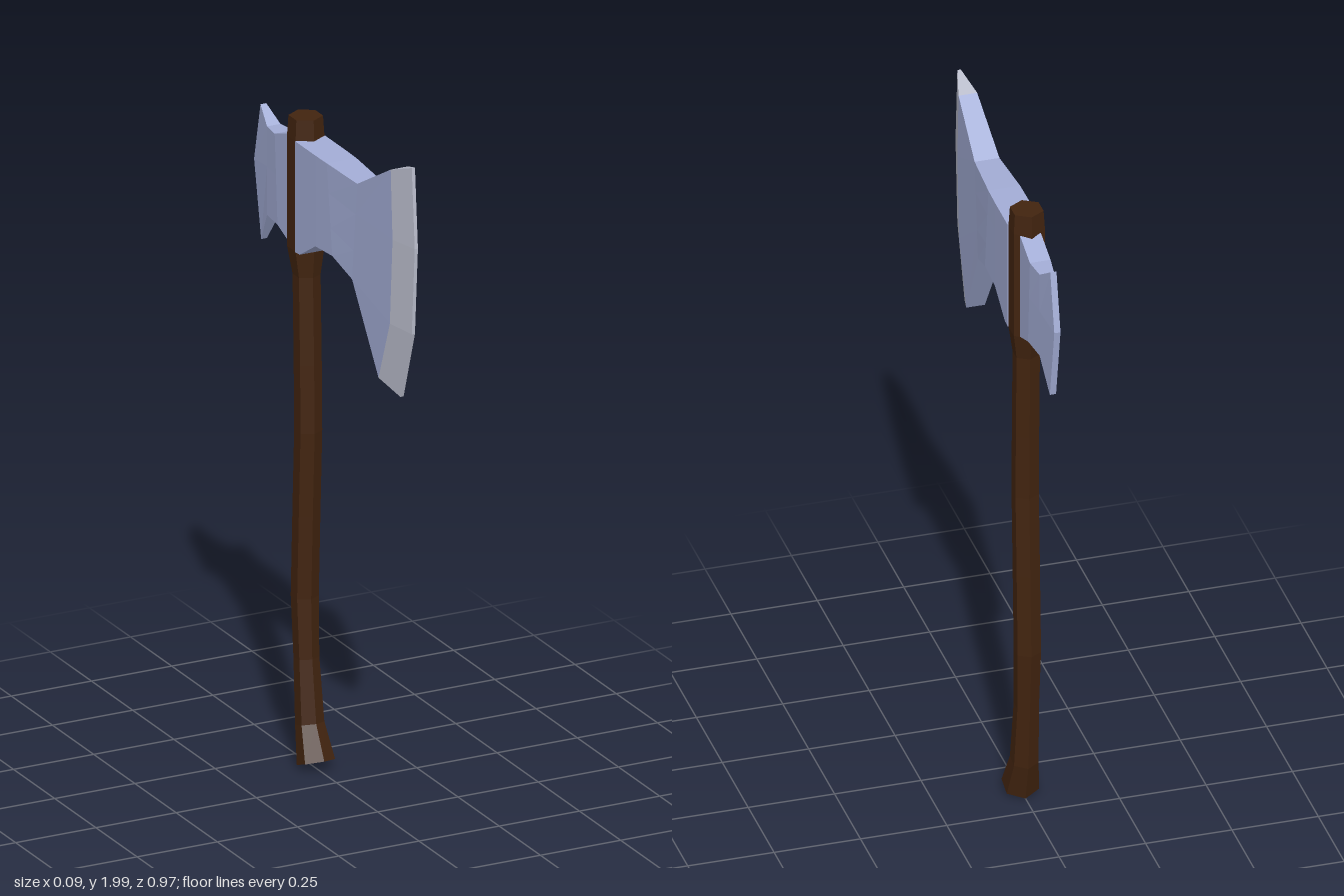
import * as THREE from 'three';

// Collects quads into a non-indexed geometry with hard facets
function quadGeometry(quads) {
  const pos = [];
  for (const [a, b, c, d] of quads) pos.push(...a, ...b, ...c, ...a, ...c, ...d);
  const g = new THREE.BufferGeometry();
  g.setAttribute('position', new THREE.Float32BufferAttribute(pos, 3));
  g.computeVertexNormals();
  return g;
}

// Straight column from a top [z, y] to a bottom [z, y], split at the given fractions
const column = (top, bottom, w, fractions) => ({
  w,
  pts: fractions.map(t => [top[0] + (bottom[0] - top[0]) * t, top[1] + (bottom[1] - top[1]) * t]),
});

// Lofts columns (ordered back to front, points top to bottom) into a slab mirrored in x
function slab(cols, capBack, capFront) {
  const R = cols.map(c => c.pts.map(([z, y]) => [c.w, y, z]));
  const L = cols.map(c => c.pts.map(([z, y]) => [-c.w, y, z]));
  const n = cols[0].pts.length - 1, e = cols.length - 1, quads = [];
  for (let i = 0; i < e; i++) {
    for (let j = 0; j < n; j++) {
      quads.push([R[i][j], R[i + 1][j], R[i + 1][j + 1], R[i][j + 1]]);
      quads.push([L[i][j + 1], L[i + 1][j + 1], L[i + 1][j], L[i][j]]);
    }
    quads.push([R[i][0], L[i][0], L[i + 1][0], R[i + 1][0]]);
    quads.push([R[i + 1][n], L[i + 1][n], L[i][n], R[i][n]]);
  }
  for (let j = 0; j < n; j++) {
    if (capBack) quads.push([R[0][j], R[0][j + 1], L[0][j + 1], L[0][j]]);
    if (capFront) quads.push([L[e][j], L[e][j + 1], R[e][j + 1], R[e][j]]);
  }
  return quadGeometry(quads);
}

// Hexagonal shaft through stations [y, z, radius, tilt], listed from the foot up
function hexShaft(stations) {
  const rings = stations.map(([y, z, r, tilt]) => Array.from({ length: 6 }, (_, k) => {
    const a = k * Math.PI / 3, d = r * Math.cos(a);
    return [r * Math.sin(a), y + d * Math.sin(tilt), z + d * Math.cos(tilt)];
  }));
  const quads = [];
  for (let i = 0; i < rings.length - 1; i++) {
    for (let k = 0; k < 6; k++) {
      const m = (k + 1) % 6;
      quads.push([rings[i][k], rings[i][m], rings[i + 1][m], rings[i + 1][k]]);
    }
  }
  const b = rings[0], t = rings[rings.length - 1];
  quads.push([b[3], b[2], b[1], b[0]], [b[0], b[5], b[4], b[3]]);
  quads.push([t[0], t[1], t[2], t[3]], [t[3], t[4], t[5], t[0]]);
  return quadGeometry(quads);
}

export function createModel() {
  const wood = new THREE.MeshStandardMaterial({ color: 0x42240f });
  wood.name = 'dark wood';
  const steel = new THREE.MeshStandardMaterial({ color: 0xa3add6 });
  steel.name = 'blue steel';
  const honed = new THREE.MeshStandardMaterial({ color: 0xb9bccb });
  honed.name = 'honed edge steel';
  for (const m of [wood, steel, honed]) m.flatShading = true;

  const group = new THREE.Group();
  group.name = 'axe';
  const add = (name, geometry, material) => {
    const mesh = new THREE.Mesh(geometry, material);
    mesh.name = name;
    group.add(mesh);
  };

  // Curved handle with a flared foot and a collar through the head
  add('handle', hexShaft([
    [0.027, -0.125, 0.054, 0.35],
    [0.13, -0.163, 0.041, 0.25],
    [0.32, -0.183, 0.036, 0.1],
    [0.5, -0.193, 0.039, 0],
    [0.75, -0.183, 0.039, -0.04],
    [1.0, -0.172, 0.039, 0],
    [1.2, -0.175, 0.039, 0.02],
    [1.46, -0.182, 0.039, 0],
    [1.54, -0.187, 0.052, 0],
    [1.87, -0.187, 0.052, 0],
    [1.93, -0.187, 0.048, 0],
  ]), wood);

  // Main blade, flaring toward the cutting edge
  const rows = [0, 0.32, 0.7, 1];
  const bevel = { w: 0.027, pts: [[0.381, 1.97], [0.392, 1.765], [0.376, 1.51], [0.307, 1.325]] };
  add('blade', slab([
    column([-0.16, 1.87], [-0.16, 1.54], 0.047, rows),
    column([-0.13, 1.87], [-0.132, 1.542], 0.047, rows),
    column([-0.037, 1.87], [-0.037, 1.6], 0.047, rows),
    column([0.03, 1.87], [0.063, 1.606], 0.046, rows),
    column([0.196, 1.865], [0.164, 1.57], 0.036, rows),
    bevel,
  ], true, false), steel);

  // Honed cutting edge
  add('cuttingEdge', slab([
    bevel,
    { w: 0.005, pts: [[0.466, 2.0], [0.484, 1.765], [0.466, 1.505], [0.397, 1.295]] },
  ], false, true), honed);

  // Small flared blade behind the handle
  const backRows = [0, 0.45, 1];
  add('backBlade', slab([
    { w: 0.009, pts: [[-0.444, 1.875], [-0.483, 1.7], [-0.44, 1.475]] },
    column([-0.381, 1.833], [-0.381, 1.57], 0.021, backRows),
    column([-0.317, 1.835], [-0.3, 1.57], 0.03, backRows),
    column([-0.225, 1.867], [-0.222, 1.54], 0.03, backRows),
    column([-0.19, 1.867], [-0.19, 1.54], 0.03, backRows),
  ], true, true), steel);

  return group;
}
